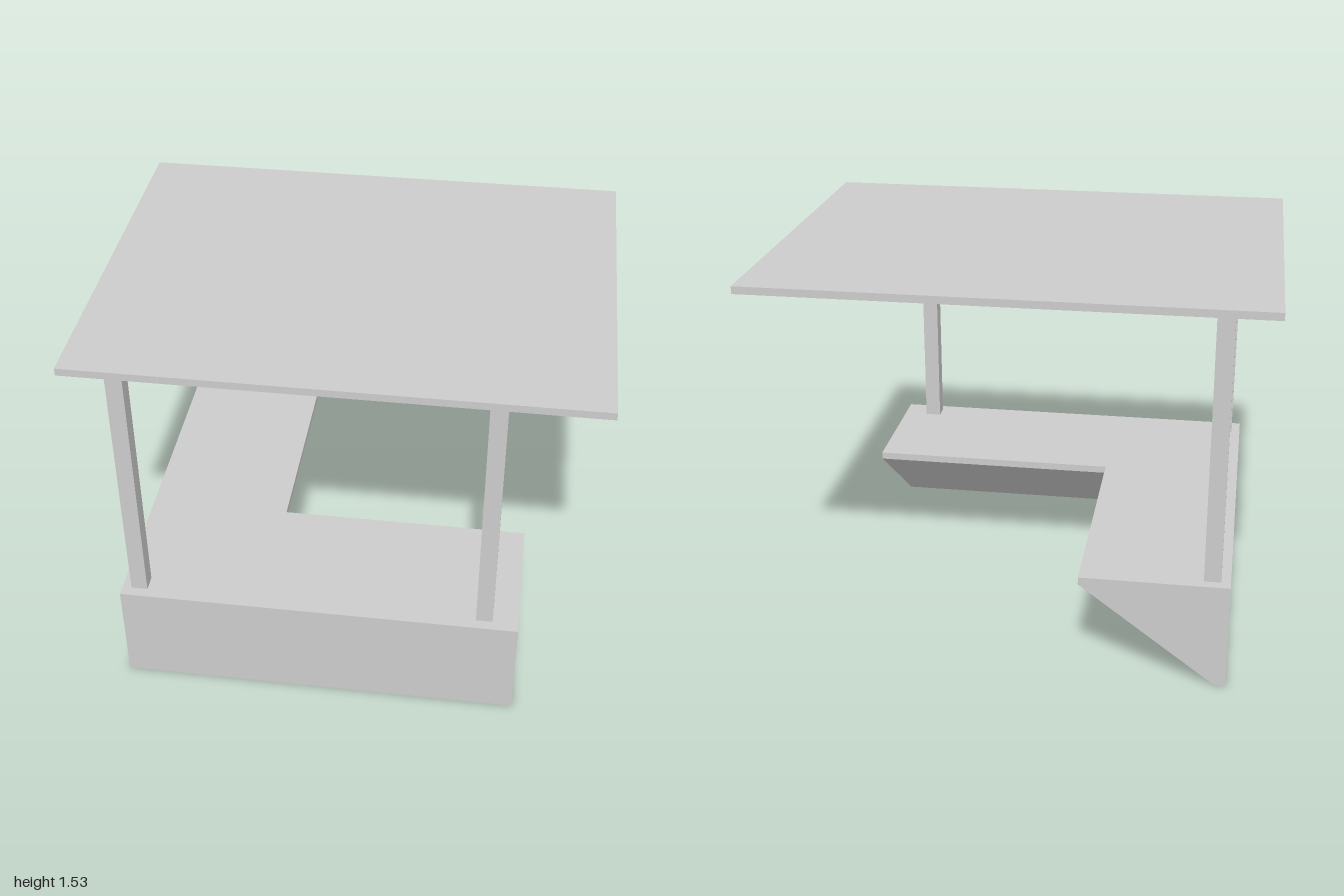
import * as THREE from 'three';

const material = new THREE.MeshStandardMaterial({ color: 0xcccccc, flatShading: true });

// L-shaped counter: one wedge section swept along two arms, mitred at the corner
function counterGeometry() {
  // [depth inward from the outer wall, height]
  const section = [[0, 0], [0, 0.43], [0.58, 0.43], [0.58, 0.4], [0.055, 0.008], [0.04, 0]];
  const n = section.length;
  const stations = [
    (d, y) => [0.73, y, 0.795 - d],
    (d, y) => [-0.87 + d, y, 0.795 - d],
    (d, y) => [-0.87 + d, y, -0.795],
  ];
  const rings = stations.map((place) => section.map(([d, y]) => place(d, y)));
  const positions = [];
  const tri = (...corners) => corners.forEach((p) => positions.push(...p));

  // Sides of both arms
  for (let s = 0; s < rings.length - 1; s++) {
    for (let i = 0; i < n; i++) {
      const j = (i + 1) % n;
      tri(rings[s][i], rings[s][j], rings[s + 1][j]);
      tri(rings[s][i], rings[s + 1][j], rings[s + 1][i]);
    }
  }
  // End caps
  const first = rings[0], last = rings[rings.length - 1];
  for (let i = 1; i < n - 1; i++) {
    tri(first[0], first[i + 1], first[i]);
    tri(last[0], last[i], last[i + 1]);
  }

  const geometry = new THREE.BufferGeometry();
  geometry.setAttribute('position', new THREE.Float32BufferAttribute(positions, 3));
  geometry.computeVertexNormals();
  return geometry;
}

function box(name, size, position) {
  const mesh = new THREE.Mesh(new THREE.BoxGeometry(...size), material);
  mesh.name = name;
  mesh.position.set(...position);
  return mesh;
}

export function createModel() {
  const model = new THREE.Group();
  model.name = 'marketStall';

  const counter = new THREE.Mesh(counterGeometry(), material);
  counter.name = 'counter';
  model.add(counter);

  // Three posts standing on the counter
  const posts = [['cornerPost', -0.8, 0.72], ['frontLeftPost', 0.595, 0.72], ['backRightPost', -0.8, -0.72]];
  for (const [name, x, z] of posts) {
    model.add(box(name, [0.066, 1.07, 0.066], [x, 0.965, z]));
  }

  // Flat roof slab
  model.add(box('roof', [2, 0.03, 1.58], [0, 1.515, 0]));
  return model;
}
